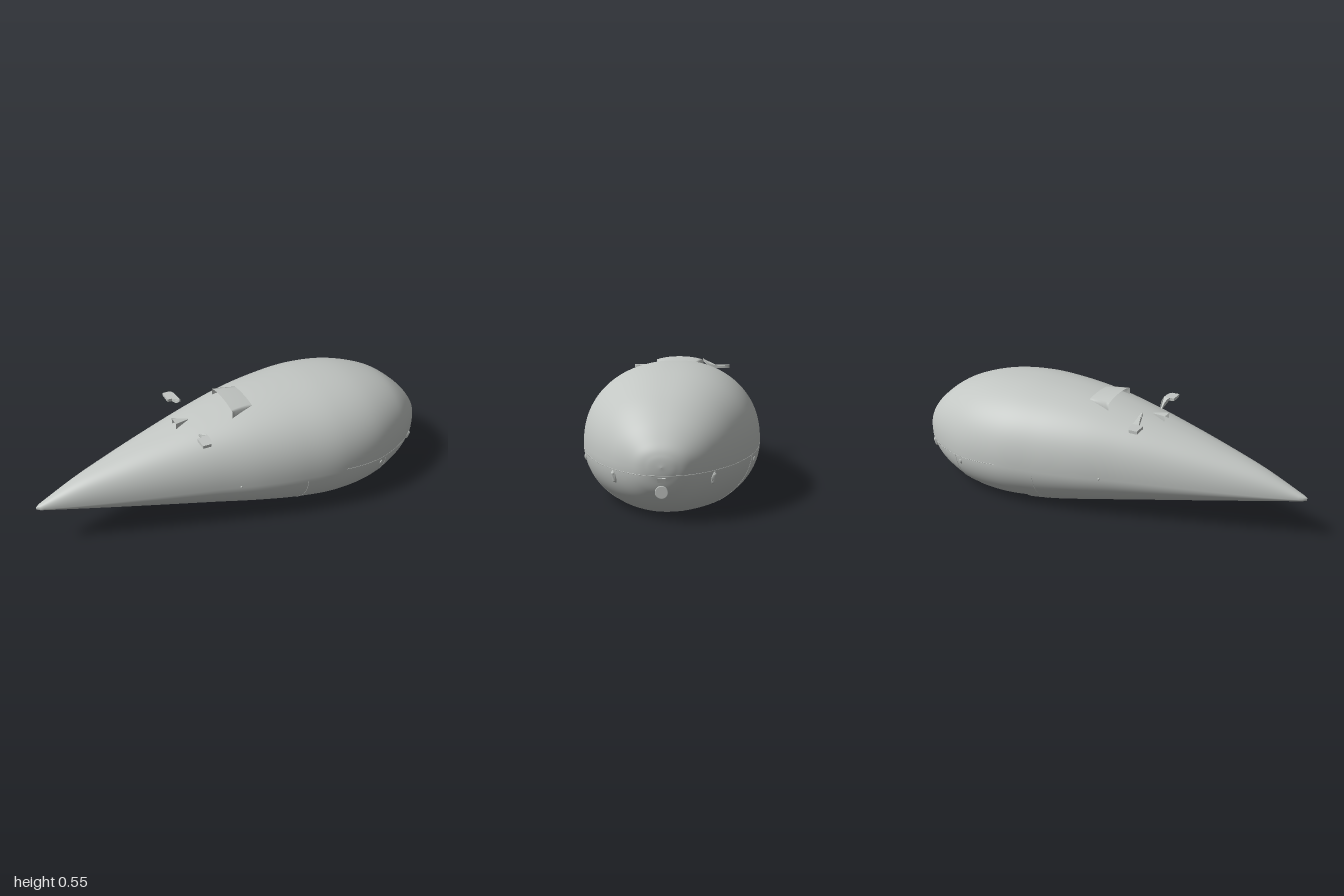
import * as THREE from 'three';

const grey = new THREE.MeshStandardMaterial({ color: 0xc2c6c3, side: THREE.DoubleSide });
grey.name = 'body grey';

// Hull stations: x, top y, keel y, half width, widest y
const STATIONS = [
  [-1, .213, .198, .012, .205], [-.8, .302, .16, .076, .206], [-.6, .37, .12, .138, .21],
  [-.4, .43, .08, .198, .215], [-.2, .483, .04, .257, .22], [0, .523, 0, .315, .22],
  [.2, .545, -.04, .357, .22], [.4, .55, -.063, .38, .22], [.6, .528, -.055, .358, .22],
  [.78, .47, -.01, .283, .22], [.9, .385, .042, .195, .22], [.97, .305, .11, .11, .22],
  [.993, .262, .172, .055, .22], [1, .22, .22, 0, .22],
];
// Scalloped rise of the flat underside between the wheels
const FLOOR = [[.26, 0], [.3, .028], [.355, .038], [.42, .025], [.5, .04], [.55, .027], [.59, 0]];

function floorAt(x) {
  for (let i = 0; i < FLOOR.length - 1; i++) {
    const [x0, y0] = FLOOR[i], [x1, y1] = FLOOR[i + 1];
    if (x >= x0 && x <= x1) return y0 + (y1 - y0) * (x - x0) / (x1 - x0);
  }
  return 0;
}

// Wheel openings in the underside
function isOpening(x, y, z) {
  const az = Math.abs(z);
  if (y > .14) return false;
  const frontWheel = x > .29 && x < .62 && az > .13 && az < .29 && y < .07;
  const rearWheel = x > -.5 && x < -.05 && az < (x > -.2 ? .13 : .09);
  return frontWheel || rearWheel;
}

function gridGeometry(rows, cols, pointAt, wrap = false, skip = () => false) {
  const pos = [], idx = [], n = wrap ? cols : cols + 1;
  for (let i = 0; i <= rows; i++) for (let j = 0; j < n; j++) pos.push(...pointAt(i / rows, j / cols));
  for (let i = 0; i < rows; i++) for (let j = 0; j < cols; j++) {
    const k = (j + 1) % n;
    const a = i * n + j, b = a + n, c = i * n + k, d = c + n;
    const mid = [0, 1, 2].map(m => (pos[a * 3 + m] + pos[d * 3 + m]) / 2);
    if (!skip(...mid)) idx.push(a, b, c, b, d, c);
  }
  const g = new THREE.BufferGeometry();
  g.setAttribute('position', new THREE.Float32BufferAttribute(pos, 3));
  g.setIndex(idx);
  g.computeVertexNormals();
  return g;
}

function hullGeometry() {
  const curve = f => new THREE.CatmullRomCurve3(STATIONS.map(f), false, 'catmullrom', .5);
  const heights = curve(s => new THREE.Vector3(s[0], s[1], s[2]));
  const widths = curve(s => new THREE.Vector3(s[0], s[3], s[4]));
  return gridGeometry(156, 128, (u, v) => {
    const h = heights.getPoint(u), w = widths.getPoint(u), a = v * Math.PI * 2;
    const c = Math.cos(a), s = Math.sin(a), p = s > 0 ? 2 / 2.25 : 1;
    const half = u === 0 ? 0 : Math.max(w.y, 0);
    const rise = s > 0 ? h.y - w.z : w.z - h.z;
    const y = w.z + Math.sign(s) * rise * Math.abs(s) ** p;
    return [h.x, Math.max(y, floorAt(h.x)), half * Math.sign(c) * Math.abs(c) ** p];
  }, true, isOpening);
}

export function createModel() {
  const model = new THREE.Group();
  model.name = 'streamlinedVehicle';
  const add = (name, geometry) => {
    const m = new THREE.Mesh(geometry, grey);
    m.name = name;
    model.add(m);
    return m;
  };

  const hull = add('hull', hullGeometry());
  hull.updateMatrixWorld();

  // Finds the hull surface along a line
  const hit = (ox, oy, oz, dx, dy, dz) => {
    const ray = new THREE.Raycaster(new THREE.Vector3(ox, oy, oz), new THREE.Vector3(dx, dy, dz).normalize());
    return ray.intersectObject(hull)[0];
  };
  const topAt = (x, z) => hit(x, 2, z, 0, -1, 0).point.y;

  // Raised scoops with the open mouth facing the tail
  const scoop = (name, x0, x1, half0, half1, rise) => add(name, gridGeometry(6, 18, (u, v) => {
    const x = x0 + (x1 - x0) * u, half = half0 + (half1 - half0) * u;
    const z = half * THREE.MathUtils.clamp((.5 - v) * 18 / 8, -1, 1) ;
    const side = v < 1 / 18 || v > 17 / 18;
    return [x, topAt(x, z) + (side ? -.004 : .002 + rise * (1 - u)), z];
  }));
  scoop('roofScoop', -.075, .035, .115, .092, .03);
  scoop('rearScoop', -.32, -.25, .026, .004, .025);

  // Mirrors: thin curved blades on arms bent down into the roof
  const blade = new THREE.Shape();
  blade.moveTo(-.28, .245);
  blade.lineTo(-.242, .245);
  blade.quadraticCurveTo(-.226, .23, -.228, .18);
  blade.quadraticCurveTo(-.226, .12, -.246, .108);
  blade.quadraticCurveTo(-.25, .15, -.258, .178);
  blade.lineTo(-.28, .18);
  blade.closePath();
  for (const side of [1, -1]) {
    const g = new THREE.ExtrudeGeometry(blade, { depth: .014, bevelEnabled: false, curveSegments: 8 });
    g.rotateX(Math.PI / 2);
    const p = g.attributes.position;
    for (let i = 0; i < p.count; i++) {
      const bend = Math.max(0, .175 - p.getZ(i)) / .067;
      p.setY(i, p.getY(i) + .484 - .035 * bend * bend);
    }
    if (side < 0) { g.rotateX(Math.PI); g.translate(0, .954, 0); }
    g.computeVertexNormals();
    add(side > 0 ? 'leftMirror' : 'rightMirror', g);
  }

  // Fittings that sit on the hull, turned to its surface
  const fit = (name, geometry, h) => {
    const m = add(name, geometry);
    m.position.copy(h.point);
    m.lookAt(h.point.clone().add(h.face.normal));
    return m;
  };
  const noseHit = (y, z) => hit(2, y, z, -1, 0, 0);
  const pod = (w, h, d) => new THREE.SphereGeometry(1, 20, 14).scale(w, h, d);

  // Nose lamp and sensor plate
  const lamp = add('noseLamp', new THREE.CylinderGeometry(.022, .022, .03, 28).rotateZ(Math.PI / 2));
  lamp.position.set(noseHit(.125, 0).point.x, .125, 0);
  const rim = add('noseLampRim', new THREE.TorusGeometry(.022, .003, 8, 28).rotateY(Math.PI / 2));
  rim.position.copy(lamp.position).x += .012;
  fit('sensorPlate', new THREE.BoxGeometry(.03, .017, .008), noseHit(.172, 0));

  // Paired lamps, side markers and small studs
  for (const s of [1, -1]) {
    fit('headLamp', new THREE.CapsuleGeometry(.009, .028, 6, 14), noseHit(.16, s * .19));
    fit('headLampFrame', pod(.012, .026, .007), noseHit(.16, s * .19));
    fit('sideMarker', pod(.008, .013, .006), hit(.62, .177, s * 2, 0, 0, -s));
    fit('sideStud', pod(.005, .006, .004), hit(-.11, .225, s * 2, 0, 0, -s));

    // Panel seams on the lower flanks
    for (const x of [.207, .655]) {
      const pts = [];
      for (let y = .01; y <= .2; y += .019) pts.push(hit(x, y, s * 2, 0, 0, -s).point);
      add('flankSeam', new THREE.TubeGeometry(new THREE.CatmullRomCurve3(pts), 24, .0015, 5));
    }
  }

  // Belt seam around the nose
  const belt = [];
  for (let i = 0; i <= 40; i++) {
    const a = (i / 40 - .5) * Math.PI, c = Math.cos(a), s = Math.sin(a);
    belt.push(hit(.4 + 3 * c, .225 - .037 * c, 3 * s, -c, 0, -s).point);
  }
  add('beltSeam', new THREE.TubeGeometry(new THREE.CatmullRomCurve3(belt), 120, .0015, 5));

  return model;
}
